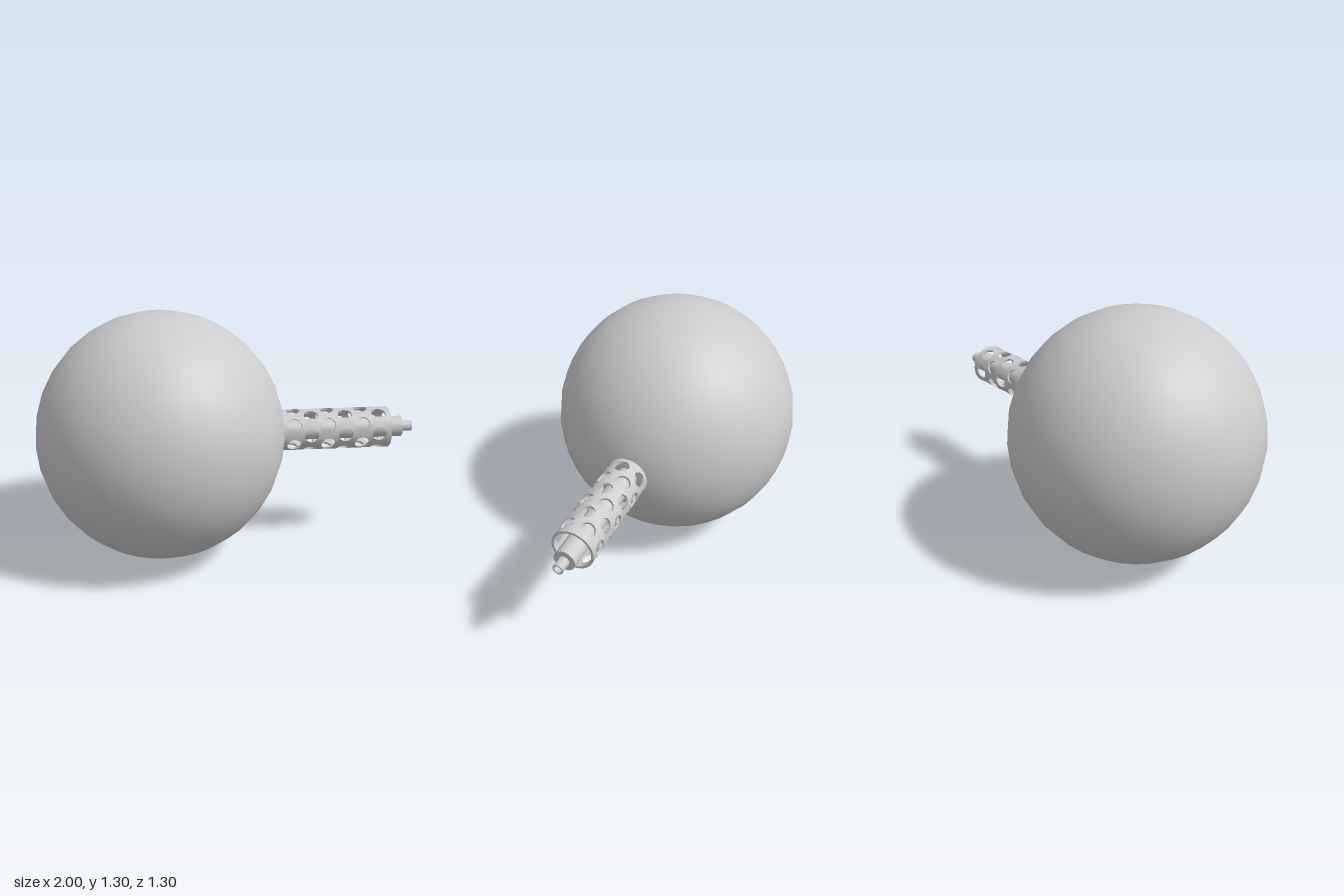
import * as THREE from 'three';
import { mergeGeometries, toCreasedNormals } from 'three/addons/utils/BufferGeometryUtils.js';

const CY = 0.655;               // height of the shared axis
const OUT = 0.109, INN = 0.097; // shroud radii
const PITCH = 0.091, HOLE = 0.0375, FIRST = 0.345;

const material = new THREE.MeshStandardMaterial({ color: 0xcccccc });

// revolve [radius, x] points around the x axis
function turned(points, segments = 48) {
  const g = new THREE.LatheGeometry(points.map(([r, x]) => new THREE.Vector2(r, x)), segments);
  g.rotateZ(-Math.PI / 2);
  const flat = g.toNonIndexed();
  flat.deleteAttribute('uv');
  flat.deleteAttribute('normal');
  return flat;
}

// point on a cylinder of radius r; angle 0 faces +z, rising towards +y
const onTube = (x, a, r) => [x, r * Math.sin(a), r * Math.cos(a)];

// outline of one cell in (x, angle) offsets, counter-clockwise from outside
function cellOutline() {
  const w = PITCH / 2, h = Math.PI / 6, pts = [];
  for (let i = 0; i < 8; i++) pts.push([w, -h + (2 * h * i) / 8]);
  for (let i = 0; i < 4; i++) pts.push([w - (2 * w * i) / 4, h]);
  for (let i = 0; i < 8; i++) pts.push([-w, h - (2 * h * i) / 8]);
  for (let i = 0; i < 4; i++) pts.push([-w + (2 * w * i) / 4, -h]);
  return pts;
}

// shroud wall made of curved cells, each with a drilled round hole
function perforatedWall() {
  const pos = [], outline = cellOutline(), n = outline.length;
  const quad = (a, b, c, d) => pos.push(...a, ...b, ...c, ...a, ...c, ...d);
  for (let col = 0; col < 6; col++) {
    for (let k = 0; k < 6; k++) {
      const cx = FIRST + col * PITCH;
      const ca = (k * Math.PI) / 3 + (col % 2 ? 0 : Math.PI / 6);
      const edge = (i, r) => onTube(cx + outline[i % n][0], ca + outline[i % n][1], r);
      const rim = (i, r) => {
        const [dx, da] = outline[i % n];
        const t = Math.atan2(da * OUT, dx);
        return onTube(cx + HOLE * Math.cos(t), ca + Math.asin((HOLE * Math.sin(t)) / r), r);
      };
      for (let i = 0; i < n; i++) {
        quad(rim(i, OUT), edge(i, OUT), edge(i + 1, OUT), rim(i + 1, OUT));
        quad(rim(i, INN), rim(i + 1, INN), edge(i + 1, INN), edge(i, INN));
        quad(rim(i, OUT), rim(i + 1, OUT), rim(i + 1, INN), rim(i, INN));
      }
    }
  }
  const g = new THREE.BufferGeometry();
  g.setAttribute('position', new THREE.Float32BufferAttribute(pos, 3));
  return g;
}

export function createModel() {
  const model = new THREE.Group();
  const add = (name, geometry, x = 0) => {
    const mesh = new THREE.Mesh(geometry, material);
    mesh.name = name;
    mesh.position.set(x, CY, 0);
    model.add(mesh);
  };

  // ball body
  add('sphereBody', new THREE.SphereGeometry(0.65, 32, 16), -0.35);

  // perforated shroud with plain bands at both ends
  const x0 = FIRST - PITCH / 2, x1 = FIRST + 5.5 * PITCH;
  const shroud = mergeGeometries([
    perforatedWall(),
    turned([[INN, x0], [INN, 0.27], [OUT, 0.27], [OUT, x0]]),
    turned([[OUT, x1], [OUT, 0.865], [INN, 0.865], [INN, x1]]),
  ]);
  add('barrelShroud', toCreasedNormals(shroud, 0.6));

  // inner barrel
  add('innerBarrel', toCreasedNormals(
    turned([[0, 0.2], [0.055, 0.2], [0.055, 0.94], [0, 0.94]], 32), 0.6));

  // hollow muzzle tip
  add('muzzleTip', toCreasedNormals(
    turned([[0.027, 0.93], [0.027, 1], [0.02, 1], [0.02, 0.942], [0, 0.942]], 32), 0.6));

  return model;
}
